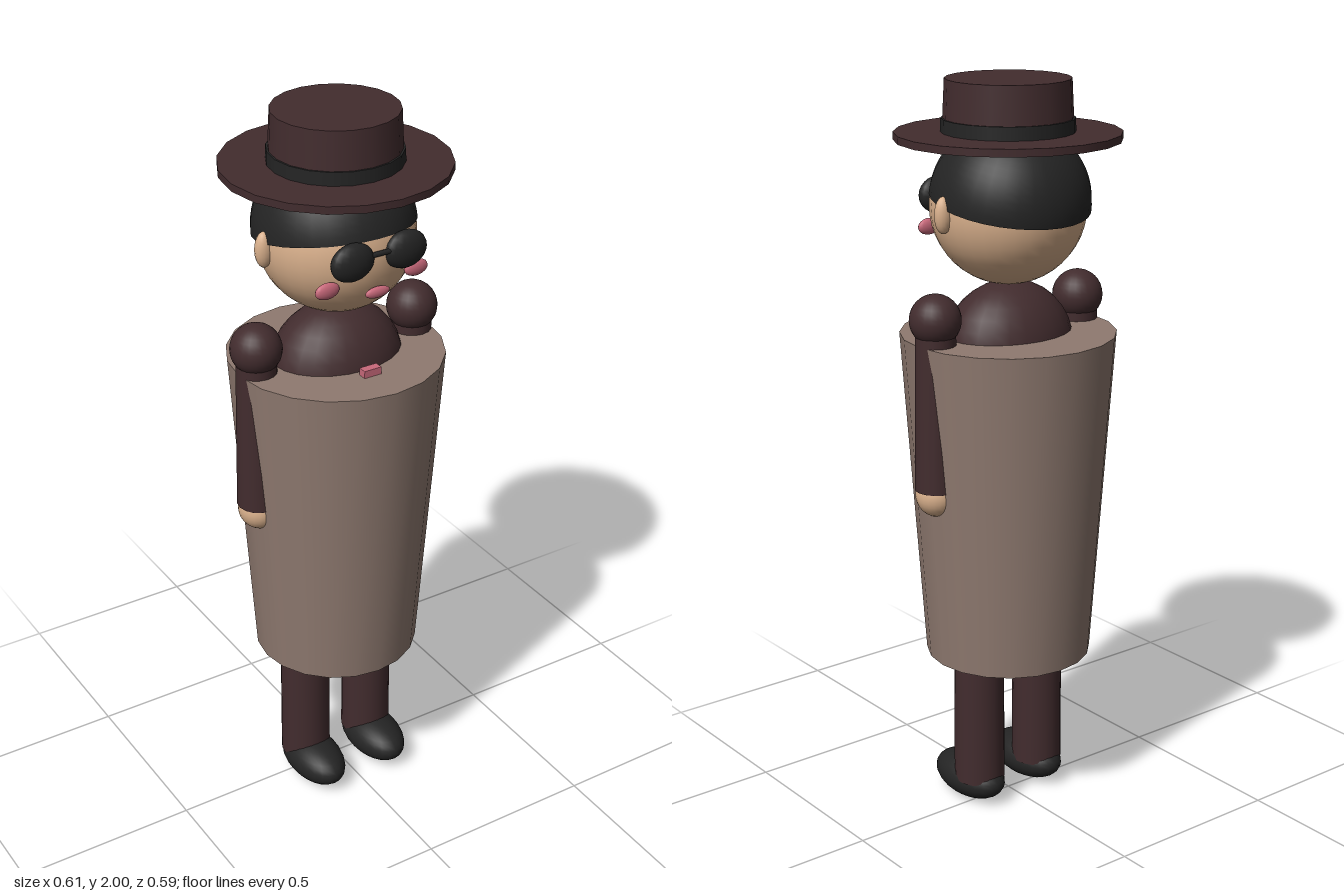
import * as THREE from 'three';

export function createModel() {
  const group = new THREE.Group();
  const material = (name, color) => {
    const m = new THREE.MeshStandardMaterial({ color });
    m.name = name;
    return m;
  };
  const taupe = material('taupe coat', 0x8f7a70);
  const brown = material('dark brown cloth', 0x422c2e);
  const black = material('black', 0x242424);
  const skin = material('skin', 0xd9b08c);
  const pink = material('pink', 0xc9697b);

  const add = (name, geometry, mat, x, y, z) => {
    const mesh = new THREE.Mesh(geometry, mat);
    mesh.name = name;
    mesh.position.set(x, y, z);
    group.add(mesh);
    return mesh;
  };
  const ellipsoid = (name, mat, [x, y, z], [rx, ry, rz], w = 24, h = 16) =>
    add(name, new THREE.SphereGeometry(1, w, h).scale(rx, ry, rz), mat, x, y, z);
  // Upright tapered cylinder given by its bottom and top heights
  const column = (name, mat, x, y0, y1, r0, r1, sides = 20) =>
    add(name, new THREE.CylinderGeometry(r1, r0, y1 - y0, sides), mat, x, (y0 + y1) / 2, 0);

  // Body
  column('coat', taupe, 0, 0.44, 1.34, 0.225, 0.287);
  ellipsoid('torso', brown, [0, 1.3, 0], [0.187, 0.177, 0.147]);
  add('tie', new THREE.BoxGeometry(0.05, 0.12, 0.024), pink, 0, 1.3, 0.167);

  // Head and tilted hair cap
  ellipsoid('head', skin, [0, 1.675, 0], [0.205, 0.205, 0.205], 32, 24);
  const hair = add('hair', new THREE.SphereGeometry(0.211, 32, 16, 0, Math.PI * 2, 0, Math.PI / 2),
    black, 0, 1.687, -0.008);
  hair.rotation.x = -0.19;
  hair.material.side = THREE.DoubleSide;

  // Hat
  column('hatBrim', brown, 0, 1.845, 1.865, 0.295, 0.295);
  column('hatCrown', brown, 0, 1.86, 2, 0.17, 0.163);
  column('hatBand', black, 0, 1.865, 1.9, 0.174, 0.173);

  // Face centre
  ellipsoid('lips', pink, [0, 1.583, 0.195], [0.036, 0.015, 0.01], 16, 10);
  const bridge = add('glassesBridge', new THREE.CylinderGeometry(0.007, 0.007, 0.06, 8), black, 0, 1.692, 0.207);
  bridge.rotation.z = Math.PI / 2;

  // Mirrored parts
  for (const [side, s] of [['left', 1], ['right', -1]]) {
    ellipsoid(side + 'Ear', skin, [s * 0.208, 1.672, 0], [0.025, 0.048, 0.021], 16, 12);
    ellipsoid(side + 'Lens', black, [s * 0.077, 1.683, 0.2], [0.061, 0.05, 0.028], 16, 12);
    ellipsoid(side + 'Cheek', pink, [s * 0.13, 1.608, 0.17], [0.035, 0.022, 0.012], 16, 10);
    ellipsoid(side + 'Shoulder', brown, [s * 0.237, 1.405, 0], [0.068, 0.068, 0.068]);
    column(side + 'Arm', brown, s * 0.237, 0.95, 1.4, 0.06, 0.053, 16);
    ellipsoid(side + 'Hand', skin, [s * 0.237, 0.935, 0], [0.058, 0.06, 0.058]);
    column(side + 'Leg', brown, s * 0.102, 0.07, 0.5, 0.07, 0.068);
    ellipsoid(side + 'Shoe', black, [s * 0.102, 0.06, 0.043], [0.074, 0.06, 0.127]);
  }
  return group;
}
